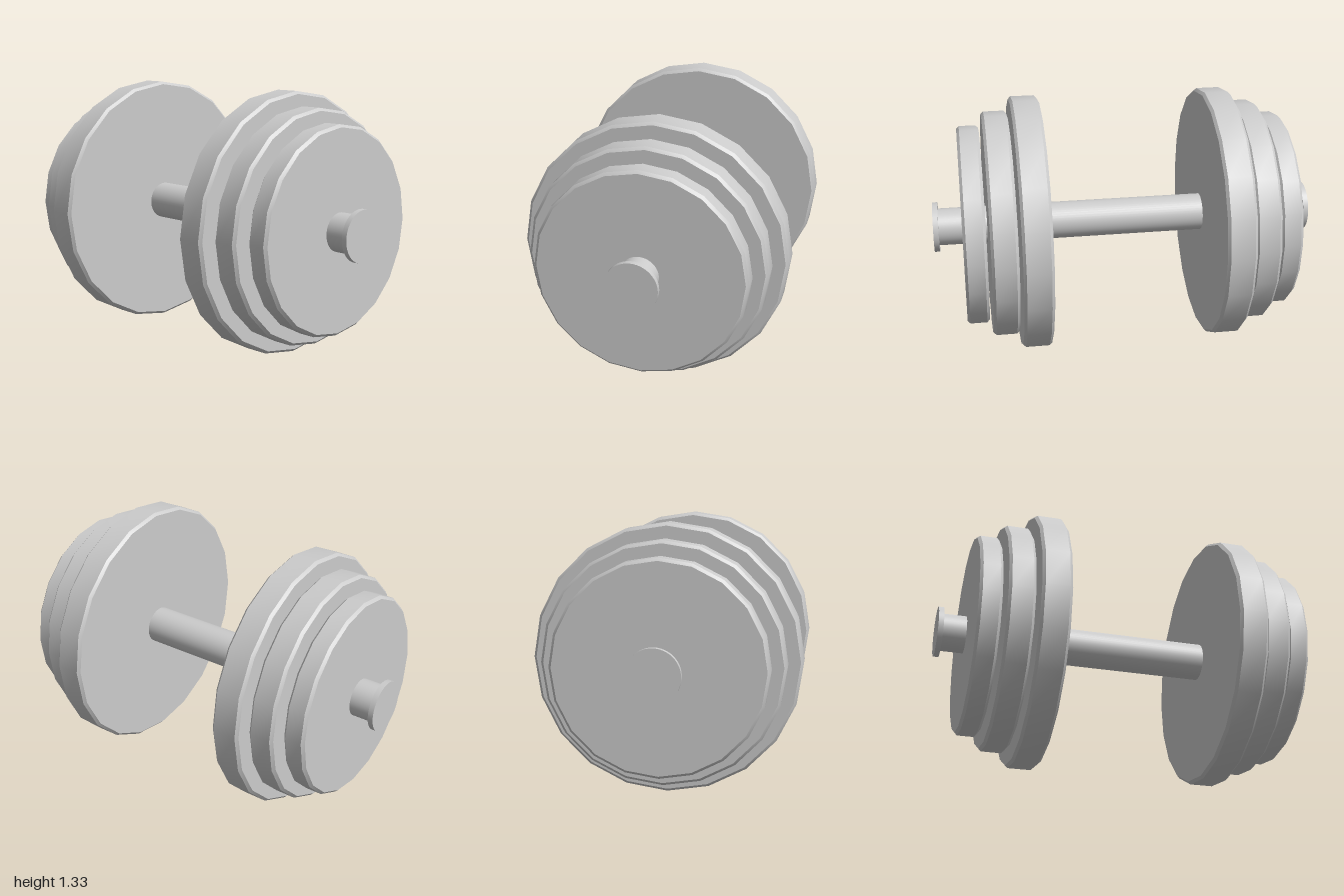
import * as THREE from 'three';
import { toCreasedNormals } from 'three/addons/utils/BufferGeometryUtils.js';

const AXIS_Y = 0.665;
const material = new THREE.MeshStandardMaterial({ color: 0xcccccc });

function addPart(group, name, geometry, z) {
  const mesh = new THREE.Mesh(geometry, material);
  mesh.name = name;
  mesh.position.set(0, AXIS_Y, z);
  group.add(mesh);
}

// Solid disc along z with chamfered rims
function plateGeometry(radius, width, bevel = 0.014) {
  const h = width / 2;
  const profile = [
    [0, -h], [radius - bevel, -h], [radius, -h + bevel],
    [radius, h - bevel], [radius - bevel, h], [0, h],
  ].map(([r, y]) => new THREE.Vector2(r, y));
  const geometry = new THREE.LatheGeometry(profile, 20).rotateX(Math.PI / 2);
  return toCreasedNormals(geometry, 0.6);
}

function rodGeometry(radius, length) {
  return new THREE.CylinderGeometry(radius, radius, length, 48).rotateX(Math.PI / 2);
}

export function createModel() {
  const model = new THREE.Group();
  model.name = 'dumbbell';

  // Handle bar through the whole length
  addPart(model, 'bar', rodGeometry(0.097, 1.96), 0);

  // Weight plates: name, radius, inner z, outer z
  const plates = [
    ['largePlate', 0.665, 0.425, 0.575],
    ['mediumPlate', 0.592, 0.588, 0.722],
    ['smallPlate', 0.522, 0.738, 0.852],
  ];

  for (const [end, side] of [['front', 1], ['back', -1]]) {
    const weights = new THREE.Group();
    weights.name = `${end}Weights`;
    for (const [name, radius, z0, z1] of plates) {
      addPart(weights, name, plateGeometry(radius, z1 - z0), side * (z0 + z1) / 2);
    }
    // End stop
    addPart(weights, 'endCap', rodGeometry(0.13, 0.027), side * 0.9865);
    model.add(weights);
  }
  return model;
}
